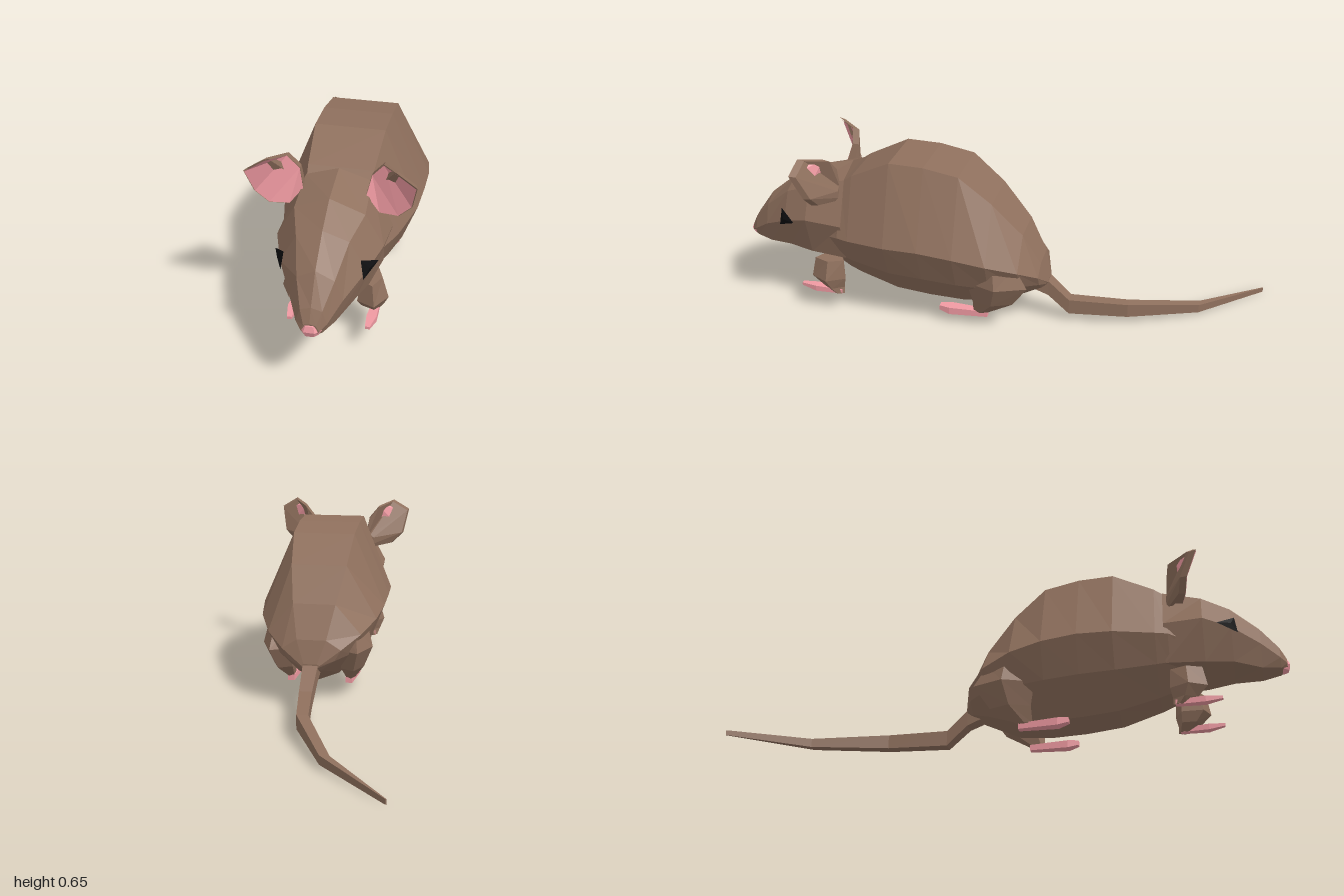
import * as THREE from 'three';

const material = (color) => new THREE.MeshStandardMaterial({ color, flatShading: true, roughness: 0.9, side: THREE.DoubleSide });
const fur = material(0x8f705d), pink = material(0xf09aa2), black = material(0x0c0c0e);

// Flat-shaded geometry from a list of triangles of [x, y, z] corners
function fromTriangles(tris) {
  const g = new THREE.BufferGeometry();
  g.setAttribute('position', new THREE.Float32BufferAttribute(tris.flat(2), 3));
  g.computeVertexNormals();
  return g;
}

// Skin rings of equal point count; capped ends become fans around the ring middle
function loft(rings, capStart = true, capEnd = true) {
  const tris = [], n = rings[0].length;
  const middle = (r) => [0, 1, 2].map((k) => r.reduce((s, p) => s + p[k], 0) / r.length);
  for (let i = 0; i + 1 < rings.length; i++) {
    for (let j = 0; j < n; j++) {
      const k = (j + 1) % n, a = rings[i][j], b = rings[i][k], c = rings[i + 1][k], d = rings[i + 1][j];
      tris.push([a, b, c], [a, c, d]);
    }
  }
  const last = rings[rings.length - 1];
  for (let j = 0; j < n; j++) {
    const k = (j + 1) % n;
    if (capStart) tris.push([middle(rings[0]), rings[0][k], rings[0][j]]);
    if (capEnd) tris.push([middle(last), last[j], last[k]]);
  }
  // Turn all faces outward using the signed volume around the middle
  const o = new THREE.Vector3(...middle(rings.flat()));
  let volume = 0;
  for (const t of tris) {
    const [a, b, c] = t.map((p) => new THREE.Vector3(...p).sub(o));
    volume += a.dot(b.cross(c));
  }
  return fromTriangles(volume < 0 ? tris.map(([a, b, c]) => [a, c, b]) : tris);
}

// Close a half section (x >= 0, top to bottom) by mirroring it
function mirrored(half) {
  const other = half.filter((p) => p[0] > 0).map(([x, y, z]) => [-x, y, z]).reverse();
  return [...half, ...other];
}

// Horizontal five-sided ring for the legs
function legRing([x, y, z, rx, rz]) {
  return Array.from({ length: 5 }, (_, i) => {
    const a = (i / 5) * Math.PI * 2;
    return [x + rx * Math.cos(a), y, z + rz * Math.sin(a)];
  });
}

// Upright rectangle across z
const rect = (x, y, z, w, h) => [[x - w, y - h, z], [x + w, y - h, z], [x + w, y + h, z], [x - w, y + h, z]];

function mirrorX(geometry) {
  const p = geometry.attributes.position, tris = [];
  const corner = (i) => [-p.getX(i), p.getY(i), p.getZ(i)];
  for (let i = 0; i < p.count; i += 3) tris.push([corner(i), corner(i + 2), corner(i + 1)]);
  return fromTriangles(tris);
}

export function createModel() {
  const model = new THREE.Group();
  model.name = 'mouse';
  const trunk = new THREE.Group();
  trunk.name = 'trunk';
  trunk.position.x = 0.047;
  model.add(trunk);

  const add = (name, geometry, mat) => {
    const mesh = new THREE.Mesh(geometry, mat);
    mesh.name = name;
    trunk.add(mesh);
  };
  const addPair = (name, geometry, mat) => {
    add('left' + name, geometry, mat);
    add('right' + name, mirrorX(geometry), mat);
  };

  // Body: z, top height, top half width, widest height, half width, belly height
  add('body', loft([
    [0.68, 0.42, 0.07, 0.31, 0.12, 0.19],
    [0.575, 0.53, 0.105, 0.335, 0.185, 0.13],
    [0.53, 0.56, 0.11, 0.335, 0.2, 0.11],
    [0.38, 0.63, 0.12, 0.34, 0.235, 0.06],
    [0.25, 0.625, 0.12, 0.34, 0.24, 0.045],
    [0.12, 0.6, 0.118, 0.325, 0.237, 0.04],
    [0, 0.5, 0.105, 0.3, 0.22, 0.05],
    [-0.11, 0.375, 0.08, 0.265, 0.175, 0.1],
    [-0.175, 0.255, 0.055, 0.22, 0.11, 0.13],
    [-0.2, 0.17, 0.025, 0.165, 0.035, 0.145],
  ].map(([z, top, tw, wy, w, low]) => mirrored([
    [tw, top, z], [w, wy, z], [w * 0.78, wy - (wy - low) * 0.46, z],
    [w * 0.35, low + (wy - low) * 0.12, z], [0, low, z],
  ]))), fur);

  // Head: z, ridge height, brow half width and height, cheek half width and height, jaw half width, chin height
  add('head', loft([
    [0.56, 0.575, 0.11, 0.54, 0.18, 0.38, 0.15, 0.2],
    [0.7, 0.545, 0.115, 0.5, 0.175, 0.39, 0.13, 0.2],
    [0.8, 0.49, 0.085, 0.46, 0.14, 0.36, 0.1, 0.212],
    [0.9, 0.41, 0.06, 0.38, 0.085, 0.31, 0.06, 0.205],
    [0.965, 0.32, 0.035, 0.31, 0.05, 0.265, 0.035, 0.222],
    [0.988, 0.275, 0.02, 0.27, 0.03, 0.25, 0.02, 0.235],
  ].map(([z, top, uw, uy, w, wy, jw, low]) => mirrored([
    [0, top, z], [uw, uy, z], [w, wy, z], [jw, low + (wy - low) * 0.2, z], [0, low, z],
  ]))), fur);

  // Nose
  const nose = new THREE.SphereGeometry(1, 6, 4).toNonIndexed();
  nose.scale(0.036, 0.027, 0.025).translate(0, 0.249, 0.976);
  add('nose', nose, pink);

  // Eyes: a small raised triangle on each cheek
  const eye = [[0.123, 0.405, 0.813], [0.168, 0.37, 0.75], [0.133, 0.34, 0.822]], bulge = [0.149, 0.372, 0.8];
  addPair('Eye', fromTriangles(eye.map((p, i) => [p, eye[(i + 1) % 3], bulge])), black);

  // Ears: folded pink inside, brown shell tapering to a root behind
  const rim = [
    [0.277, 0.615, 0.7], [0.212, 0.655, 0.69], [0.157, 0.638, 0.615], [0.117, 0.59, 0.605],
    [0.102, 0.525, 0.625], [0.147, 0.47, 0.635], [0.212, 0.475, 0.65], [0.257, 0.52, 0.66],
  ];
  const shrink = (s, dz) => rim.map(([x, y, z]) => [0.16 + (x - 0.16) * s, 0.54 + (y - 0.54) * s, z + dz]);
  const root = rim.map(([x, y]) => [0.12 + (x - 0.19) * 0.2, 0.49 + (y - 0.56) * 0.3, 0.575]);
  addPair('Ear', loft([rim, shrink(0.95, -0.025), root], false, true), fur);
  const inner = shrink(0.97, 0.001);
  addPair('EarInside', fromTriangles([[0, 1, 2], [0, 2, 7], [2, 3, 6], [2, 6, 7], [3, 4, 5], [3, 5, 6]]
    .map((t) => t.map((i) => inner[i]))), pink);

  // Legs: x, y, z, half width, half depth of each ring
  addPair('FrontLeg', loft([
    [0.125, 0.215, 0.63, 0.035, 0.06], [0.127, 0.14, 0.635, 0.055, 0.07],
    [0.125, 0.1, 0.62, 0.04, 0.045], [0.137, 0.075, 0.6, 0.018, 0.025],
  ].map(legRing)), fur);
  addPair('HindLeg', loft([
    [0.14, 0.28, -0.02, 0.05, 0.08], [0.145, 0.2, -0.03, 0.065, 0.12],
    [0.13, 0.115, -0.01, 0.045, 0.08], [0.117, 0.055, 0.04, 0.018, 0.03],
  ].map(legRing)), fur);

  // Feet
  addPair('FrontFoot', loft([
    rect(0.137, 0.083, 0.585, 0.011, 0.009), rect(0.135, 0.086, 0.69, 0.017, 0.011), rect(0.132, 0.092, 0.75, 0.008, 0.005),
  ]), pink);
  addPair('HindFoot', loft([
    rect(0.113, 0.047, 0.015, 0.013, 0.011), rect(0.117, 0.05, 0.16, 0.022, 0.014), rect(0.119, 0.056, 0.2, 0.012, 0.009),
  ]), pink);

  // Tail: x, y, z, half width, half height
  add('tail', loft([
    [0, 0.155, -0.15, 0.03, 0.03], [0, 0.135, -0.2, 0.028, 0.03], [0.003, 0.063, -0.28, 0.024, 0.029],
    [-0.026, 0.056, -0.5, 0.021, 0.026], [-0.145, 0.029, -0.76, 0.017, 0.016], [-0.367, 0.01, -1, 0.002, 0.009],
  ].map((s) => rect(...s))), fur);

  return model;
}
